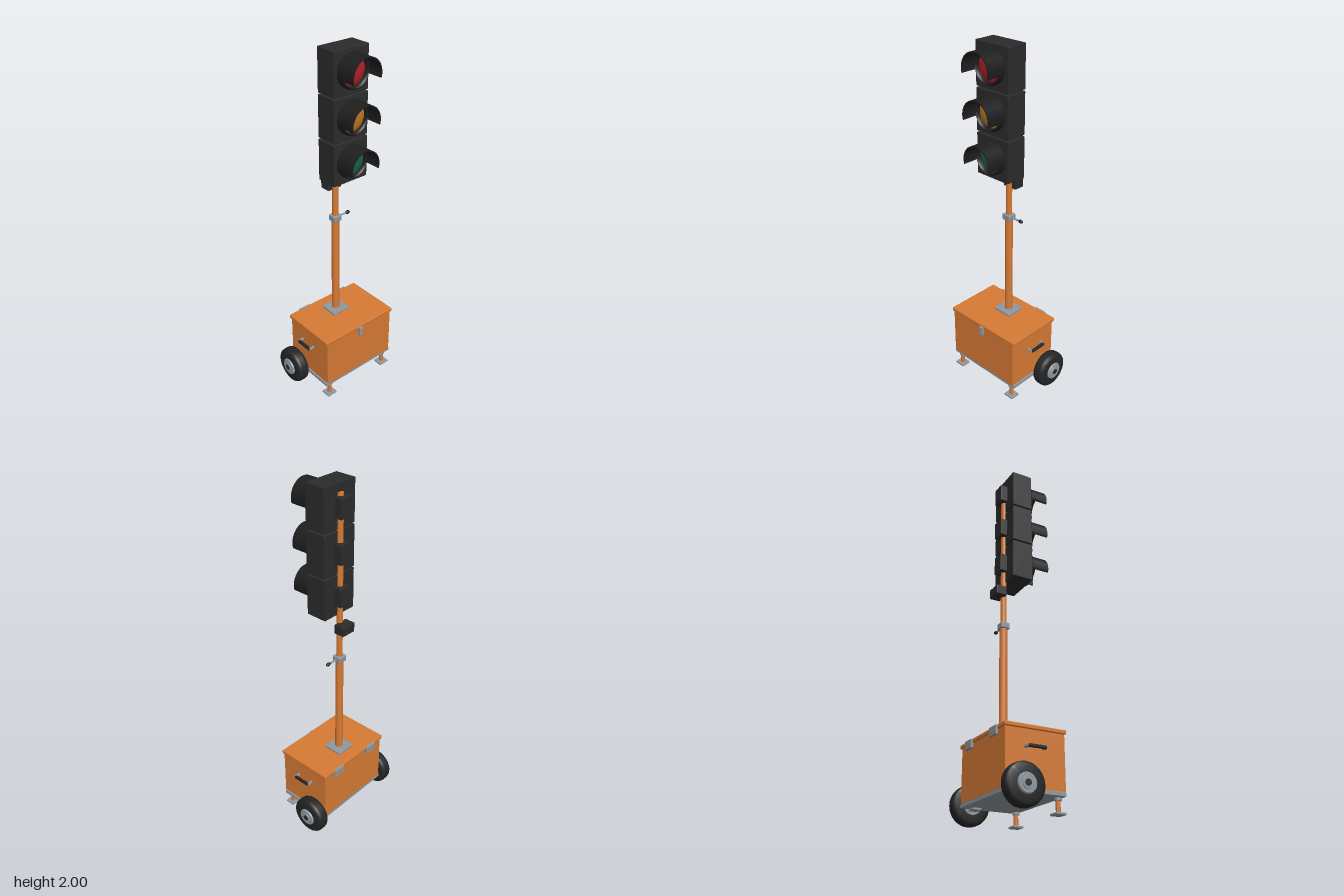
import * as THREE from 'three';
import { RoundedBoxGeometry } from 'three/addons/geometries/RoundedBoxGeometry.js';
import { toCreasedNormals } from 'three/addons/utils/BufferGeometryUtils.js';

const mat = (name, color, side = THREE.FrontSide) => {
  const m = new THREE.MeshStandardMaterial({ color, side });
  m.name = name;
  return m;
};

export function createModel() {
  const root = new THREE.Group();
  root.name = 'portableTrafficSignal';
  const orange = mat('orange paint', 0xd67a34);
  const grey = mat('grey metal', 0x8f989f);
  const dark = mat('dark housing', 0x2b2b2b);
  const black = mat('black rubber', 0x252525);
  const hood = mat('black visor', 0x1e1e1e, THREE.DoubleSide);
  const red = mat('red lens', 0xb52126);
  const amber = mat('amber lens', 0xc27a22);
  const green = mat('green lens', 0x1f654a);

  const add = (name, geo, m, x = 0, y = 0, z = 0, parent = root) => {
    const mesh = new THREE.Mesh(geo, m);
    mesh.name = name;
    mesh.position.set(x, y, z);
    parent.add(mesh);
    return mesh;
  };
  const box = (name, m, w, h, d, x, y, z, r = 0.003) =>
    add(name, new RoundedBoxGeometry(w, h, d, 2, r), m, x, y, z);
  const cyl = (name, m, r, h, x, y, z, axis = 'y') => {
    const g = new THREE.CylinderGeometry(r, r, h, 32);
    if (axis === 'x') g.rotateZ(Math.PI / 2);
    if (axis === 'z') g.rotateX(Math.PI / 2);
    return add(name, g, m, x, y, z);
  };
  const lathe = (pts, seg = 48) => toCreasedNormals(
    new THREE.LatheGeometry(pts.map(p => new THREE.Vector2(...p)), seg), 0.7);

  // Battery cabinet
  box('basePlate', grey, 0.496, 0.022, 0.325, 0, 0.094, 0.003);
  box('cabinetBody', orange, 0.48, 0.29, 0.33, 0, 0.247, 0.005);
  box('cabinetLid', orange, 0.5, 0.022, 0.343, 0, 0.4, 0.0035, 0.005);
  box('frontLatch', grey, 0.026, 0.056, 0.018, 0, 0.373, 0.178);
  for (const s of [-1, 1]) box('rearHinge', grey, 0.075, 0.048, 0.015, s * 0.1375, 0.386, -0.1695);

  // Wheels: lathed tyre and hub turned onto the x axis
  const tyre = lathe([[0.045, -0.035], [0.088, -0.035], [0.098, -0.031], [0.104, -0.022], [0.106, -0.01],
    [0.106, 0.01], [0.104, 0.022], [0.098, 0.031], [0.088, 0.035], [0.045, 0.035]]).rotateZ(-Math.PI / 2);
  const hub = lathe([[0, -0.04], [0.05, -0.04], [0.05, 0.04], [0.046, 0.045], [0.03, 0.045], [0.028, 0.048], [0, 0.048]])
    .rotateZ(-Math.PI / 2);
  cyl('axle', grey, 0.014, 0.54, 0, 0.107, -0.09, 'x');
  for (const s of [-1, 1]) {
    const wheel = new THREE.Group();
    wheel.name = s > 0 ? 'leftWheel' : 'rightWheel';
    wheel.position.set(s * 0.285, 0.107, -0.09);
    wheel.rotation.y = s > 0 ? 0 : Math.PI;
    root.add(wheel);
    add('tyre', tyre, black, 0, 0, 0, wheel);
    add('hub', hub, grey, 0, 0, 0, wheel);
    add('hubCap', new THREE.CylinderGeometry(0.016, 0.016, 0.012, 24).rotateZ(Math.PI / 2), dark, 0.045, 0, 0, wheel);
    box('axleBracket', grey, 0.055, 0.03, 0.05, s * 0.215, 0.087, -0.09);

    // Front support legs
    cyl('legCollar', grey, 0.018, 0.016, s * 0.207, 0.077, 0.143);
    cyl('supportLeg', orange, 0.012, 0.08, s * 0.207, 0.045, 0.143);
    box('footPlate', grey, 0.062, 0.012, 0.056, s * 0.207, 0.006, 0.143);

    // Side carry handles
    for (const z of [-0.052, 0.046]) box('handleMount', grey, 0.036, 0.013, 0.013, s * 0.256, 0.3, z);
    box('handleGrip', black, 0.016, 0.017, 0.1, s * 0.272, 0.3, -0.003, 0.005);
  }

  // Telescopic mast
  const mz = -0.045;
  box('mastFlange', grey, 0.116, 0.014, 0.112, 0, 0.417, mz);
  cyl('lowerMast', orange, 0.022, 0.6, 0, 0.72, mz);
  cyl('upperMast', orange, 0.017, 0.955, 0, 1.477, mz);
  box('mastClamp', grey, 0.054, 0.036, 0.052, 0, 1.03, mz, 0.006);
  cyl('clampLever', grey, 0.005, 0.065, 0.055, 1.03, mz, 'x');
  const knob = add('leverKnob', new THREE.SphereGeometry(0.011, 24, 16), black, 0.088, 1.03, mz);
  knob.scale.set(1.4, 0.9, 0.9);
  box('controlBox', dark, 0.088, 0.053, 0.062, 0, 1.23, -0.079);

  // Rounded bezel, domed lens and cutaway visor, built along +z
  const bezel = lathe([[0.074, 0], [0.074, 0.022], [0.077, 0.032], [0.081, 0.036], [0.086, 0.032], [0.09, 0.02], [0.09, 0]]
    .reverse()).rotateX(Math.PI / 2);
  bezel.scale(1, 1, 1);
  const lens = lathe([[0.076, 0.012], [0.065, 0.018], [0.045, 0.024], [0.022, 0.028], [0, 0.029]]).rotateX(Math.PI / 2);
  const low = -0.29; // angle where the visor ends below centre
  const visorShape = new THREE.Shape();
  visorShape.absarc(0, 0, 0.0915, low, Math.PI - low, false);
  visorShape.absarc(0, 0, 0.086, Math.PI - low, low, true);
  visorShape.closePath();
  const visor = toCreasedNormals(
    new THREE.ExtrudeGeometry(visorShape, { depth: 0.117, bevelEnabled: false, curveSegments: 40 }), 0.6);

  // Three signal heads, top to bottom
  [['red', red], ['amber', amber], ['green', green]].forEach(([name, lensMat], i) => {
    const y = 1.886 - i * 0.236;
    box(name + 'Housing', dark, 0.22, 0.228, 0.123, 0, y, 0.0185);
    const bez = add(name + 'Bezel', bezel, hood, 0, y + 0.003, 0.079);
    bez.material = hood;
    add(name + 'Lens', lens, lensMat, 0, y + 0.003, 0.079).material.side = THREE.DoubleSide;
    add(name + 'Visor', visor, hood, 0, y + 0.003, 0.078);
    box(name + 'Bracket', dark, 0.074, 0.106, 0.044, 0, y, -0.063);
  });
  return root;
}
